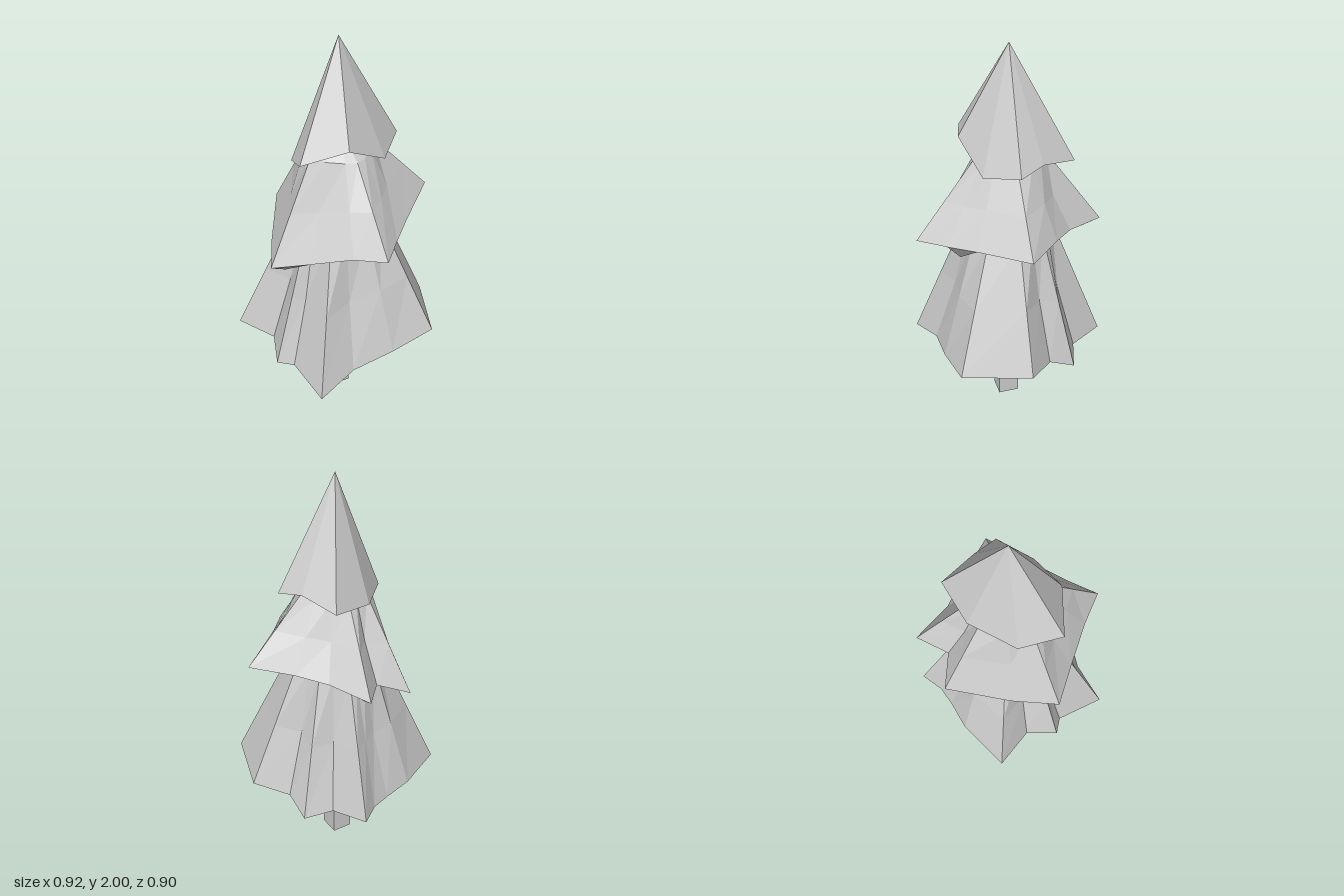
import * as THREE from 'three';

const material = new THREE.MeshStandardMaterial({ color: 0xcccccc, flatShading: true, side: THREE.DoubleSide });
const CX = -0.005, CZ = -0.015; // axis of the foliage

// Joins cross-section loops, listed from top to bottom, into a faceted skin.
function skin(rows) {
  const pos = [];
  const n = rows[0].length;
  for (let r = 0; r < rows.length - 1; r++) {
    const a = rows[r], b = rows[r + 1];
    for (let i = 0; i < n; i++) {
      const j = (i + 1) % n;
      for (const tri of [[a[i], a[j], b[j]], [a[i], b[j], b[i]]]) {
        const [p, q, s] = tri;
        const area = q.clone().sub(p).cross(s.clone().sub(p)).length();
        if (area > 1e-7) for (const v of tri) pos.push(v.x, v.y, v.z);
      }
    }
  }
  const geometry = new THREE.BufferGeometry();
  geometry.setAttribute('position', new THREE.Float32BufferAttribute(pos, 3));
  geometry.computeVertexNormals();
  return geometry;
}

// A ragged skirt of branches: tip, collar, pleated knee, hem and hollow underside.
// Each hem point is x, y, z and, where the underside sags, how far it drops.
function tier(name, { hem, tipY, collarY = tipY, collarR = 0, hollow }) {
  const pts = hem.map(([x, y, z, drop = 0]) => ({ x: x - CX, y, z: z - CZ, drop, r: Math.hypot(x - CX, z - CZ) }));
  pts.sort((p, q) => Math.atan2(p.z, p.x) - Math.atan2(q.z, q.x));
  const n = pts.length;
  const mean = pts.reduce((s, p) => s + p.r, 0) / n;
  const meanY = pts.reduce((s, p) => s + p.y, 0) / n;
  const at = (p, r, y) => new THREE.Vector3(CX + p.x / p.r * r, y, CZ + p.z / p.r * r);
  const isNotch = i => pts[i].r < pts[(i + n - 1) % n].r && pts[i].r < pts[(i + 1) % n].r;

  const collar = p => collarR * (0.7 + 0.3 * p.r / mean);
  const rows = [pts.map(p => at(p, 0, tipY))];
  if (collarR) {
    rows.push(pts.map(p => at(p, collar(p), collarY)));
    rows.push(pts.map((p, i) => at(p, (collar(p) + p.r) / 2 * (isNotch(i) ? 0.94 : 1), (collarY + p.y) / 2)));
  }
  rows.push(pts.map(p => at(p, p.r, p.y)));
  rows.push(pts.map(p => at(p, p.r * 0.8, p.y + (p.drop ? -p.drop : hollow * 0.35))));
  rows.push(pts.map(p => at(p, p.r * 0.35, meanY + hollow)));
  rows.push(pts.map(p => at(p, 0, meanY + hollow)));
  const mesh = new THREE.Mesh(skin(rows), material);
  mesh.name = name;
  return mesh;
}

export function createModel() {
  const tree = new THREE.Group();
  tree.name = 'tree';

  // Square trunk, slightly turned
  const trunk = new THREE.Mesh(new THREE.BoxGeometry(0.1, 0.6, 0.105), material);
  trunk.name = 'trunk';
  trunk.position.set(-0.025, 0.3, -0.01);
  trunk.rotation.y = -0.12;
  tree.add(trunk);

  // Lower branches
  tree.add(tier('lowerBranches', {
    tipY: 1.2, collarY: 1.08, collarR: 0.2, hollow: 0.1,
    hem: [
      [0.455, 0.47, 0.055], [0.315, 0.47, 0.37], [0.08, 0.43, 0.37], [-0.13, 0.38, 0.34],
      [-0.335, 0.32, 0.38, 0.03], [-0.35, 0.35, 0.13], [-0.42, 0.36, 0.08], [-0.36, 0.39, -0.07],
      [-0.46, 0.4, -0.26], [-0.2, 0.41, -0.36], [-0.05, 0.4, -0.375], [0.05, 0.4, -0.395],
      [0.155, 0.4, -0.455, 0.05], [0.22, 0.39, -0.28], [0.35, 0.37, -0.22], [0.34, 0.43, -0.09],
    ],
  }));

  // Middle branches
  tree.add(tier('middleBranches', {
    tipY: 1.56, collarY: 1.45, collarR: 0.165, hollow: 0.05,
    hem: [
      [0.445, 1.14, 0.06], [0.22, 1.11, 0.24], [0.1, 1.09, 0.34, 0.09], [-0.02, 1.08, 0.45],
      [-0.13, 1.06, 0.33], [-0.28, 1.0, 0.19], [-0.42, 0.95, 0.065, 0.05], [-0.31, 0.95, -0.14],
      [-0.14, 1.0, -0.41], [0.0, 1.06, -0.33], [0.13, 1.07, -0.44, 0.04], [0.21, 1.1, -0.24],
      [0.31, 1.13, -0.12],
    ],
  }));

  // Pointed crown
  tree.add(tier('crown', {
    tipY: 2.0, hollow: 0.04,
    hem: [
      [0.275, 1.475, 0.045], [0.13, 1.435, 0.17], [-0.08, 1.55, 0.205], [-0.285, 1.5, 0.125],
      [-0.225, 1.41, -0.07], [-0.03, 1.43, -0.23], [0.185, 1.46, -0.26], [0.235, 1.5, -0.08],
    ],
  }));

  return tree;
}
